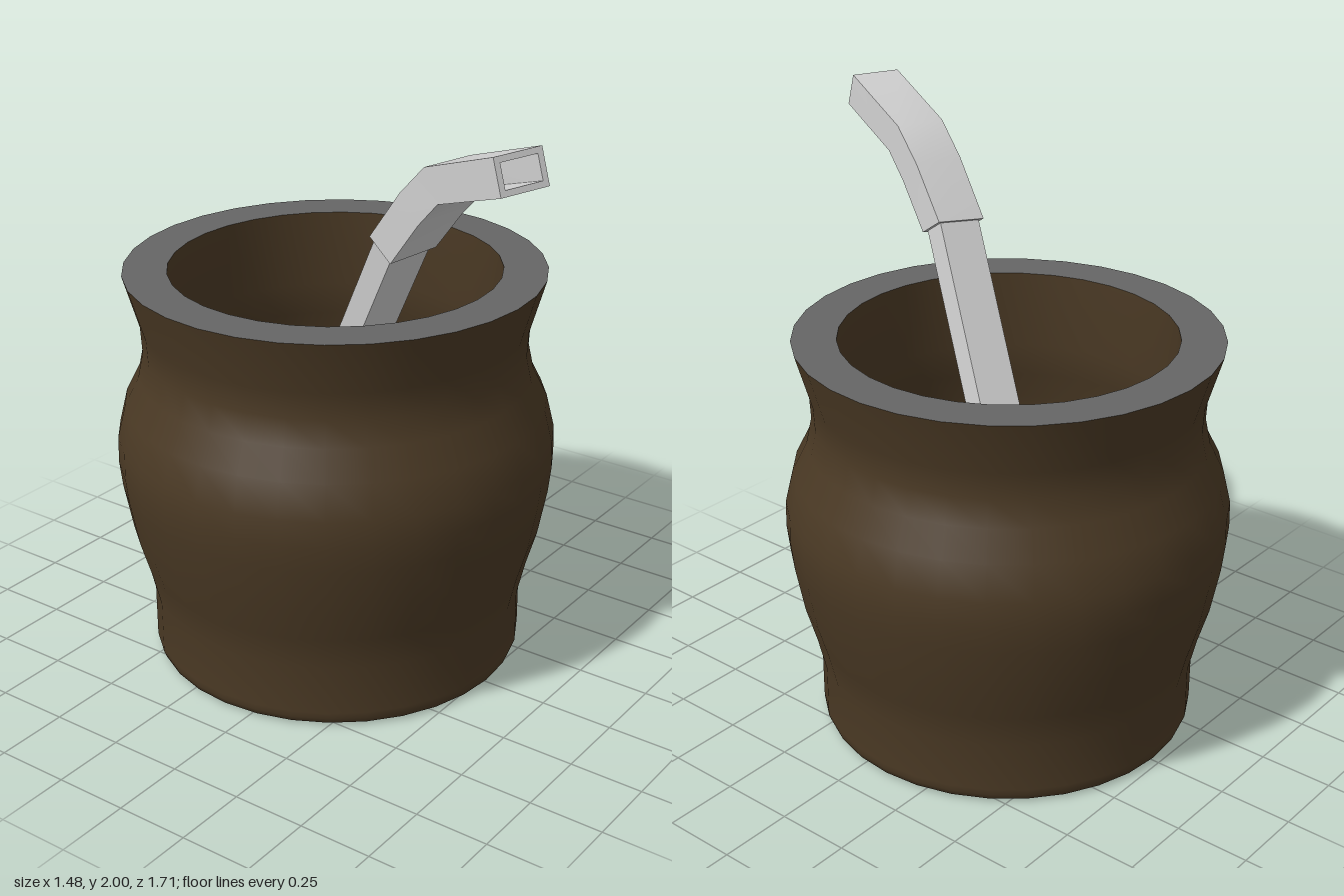
import * as THREE from 'three';
import { toCreasedNormals } from 'three/addons/utils/BufferGeometryUtils.js';

const V = (a) => new THREE.Vector3(...a);

// Rectangular tube through stations { p, d, w, h }: centre, direction, width, height
function sweep(stations, capStart = true, capEnd = true) {
  const pos = [], idx = [];
  for (const { p, d, w, h } of stations) {
    const right = new THREE.Vector3(0.968, 0, 0.25);
    right.addScaledVector(d, -right.dot(d)).normalize();
    const up = d.clone().cross(right);
    for (const [a, b] of [[-1, -1], [1, -1], [1, 1], [-1, 1]]) {
      const c = p.clone().addScaledVector(right, a * w / 2).addScaledVector(up, b * h / 2);
      pos.push(c.x, c.y, c.z);
    }
  }
  for (let i = 0; i < stations.length - 1; i++) {
    for (let j = 0; j < 4; j++) {
      const a = i * 4 + j, b = i * 4 + (j + 1) % 4;
      idx.push(a, b, b + 4, a, b + 4, a + 4);
    }
  }
  const e = (stations.length - 1) * 4;
  if (capStart) idx.push(0, 2, 1, 0, 3, 2);
  if (capEnd) idx.push(e, e + 1, e + 2, e, e + 2, e + 3);
  const geo = new THREE.BufferGeometry();
  geo.setAttribute('position', new THREE.Float32BufferAttribute(pos, 3));
  geo.setIndex(idx);
  return toCreasedNormals(geo, 0.75);
}

export function createModel() {
  const model = new THREE.Group();
  const brown = new THREE.MeshStandardMaterial({ name: 'dark brown', color: 0x4a3924 });
  const grey = new THREE.MeshStandardMaterial({ name: 'dark grey', color: 0x656565 });
  const metal = new THREE.MeshStandardMaterial({ name: 'light metal', color: 0xd0d0d0 });

  const add = (parent, name, geo, mat) => {
    const mesh = new THREE.Mesh(geo, mat);
    mesh.name = name;
    parent.add(mesh);
    return mesh;
  };
  const lathe = (pts) => new THREE.LatheGeometry(pts.map(([r, y]) => new THREE.Vector2(r, y)), 32);

  // Cup
  const cup = new THREE.Group();
  cup.name = 'cup';
  cup.position.z = -0.1;
  model.add(cup);
  add(cup, 'outerWall', lathe([
    [0.61, 0], [0.628, 0.01], [0.636, 0.03], [0.637, 0.05], [0.637, 0.22], [0.665, 0.34],
    [0.7, 0.46], [0.73, 0.62], [0.74, 0.71], [0.738, 0.8], [0.71, 0.915], [0.662, 1.01],
    [0.643, 1.1], [0.648, 1.19], [0.7, 1.37],
  ]), brown);
  add(cup, 'innerWall', lathe([
    [0.553, 1.37], [0.553, 1.1], [0.575, 0.98], [0.605, 0.88], [0.62, 0.75],
    [0.605, 0.6], [0.57, 0.42], [0.553, 0.25],
  ]), brown);
  const rim = add(cup, 'rim', new THREE.RingGeometry(0.553, 0.7, 32), grey);
  rim.rotation.set(-Math.PI / 2, 0, Math.PI / 2);
  rim.position.y = 1.37;
  const floor = add(cup, 'innerFloor', new THREE.CircleGeometry(0.553, 32), grey);
  floor.rotation.set(-Math.PI / 2, 0, 0);
  floor.position.y = 0.25;
  const base = add(cup, 'base', new THREE.CircleGeometry(0.61, 32), grey);
  base.rotation.x = Math.PI / 2;

  // Drinking straw: straight stem leaning forward and to its right
  const straw = new THREE.Group();
  straw.name = 'straw';
  model.add(straw);
  const axis = V([-0.306, 1, 0.587]).normalize();
  const along = (y) => V([-0.14 - 0.306 * (y - 1.37), y, 0.18 + 0.587 * (y - 1.37)]);
  const onStem = (y, w, h) => ({ p: along(y), d: axis, w, h });
  add(straw, 'stem', sweep([onStem(0.66, 0.15, 0.09), onStem(1.62, 0.15, 0.09)]), metal);

  // Flared strainer at the foot
  add(straw, 'strainer', sweep([
    onStem(0.38, 0.25, 0.15), onStem(0.59, 0.25, 0.15), onStem(0.63, 0.23, 0.135),
    onStem(0.68, 0.175, 0.105), onStem(0.74, 0.15, 0.09),
  ]), metal);

  // Bent hollow mouthpiece
  const path = [along(1.59), V([-0.25, 1.75, 0.44]), V([-0.277, 1.845, 0.535]), V([-0.377, 1.944, 0.82])];
  const dirs = path.map((p, i) => {
    const before = i > 0 ? p.clone().sub(path[i - 1]).normalize() : axis;
    const after = i < 3 ? path[i + 1].clone().sub(p).normalize() : before;
    return i === 0 ? axis : before.clone().add(after).normalize();
  });
  const outer = path.map((p, i) => ({ p, d: dirs[i], w: 0.175, h: 0.115 }));
  const inner = [3, 2].map((i) => ({ p: path[i], d: dirs[i], w: 0.135, h: 0.077 }));
  add(straw, 'mouthpiece', sweep([...outer, ...inner]), metal);

  return model;
}
